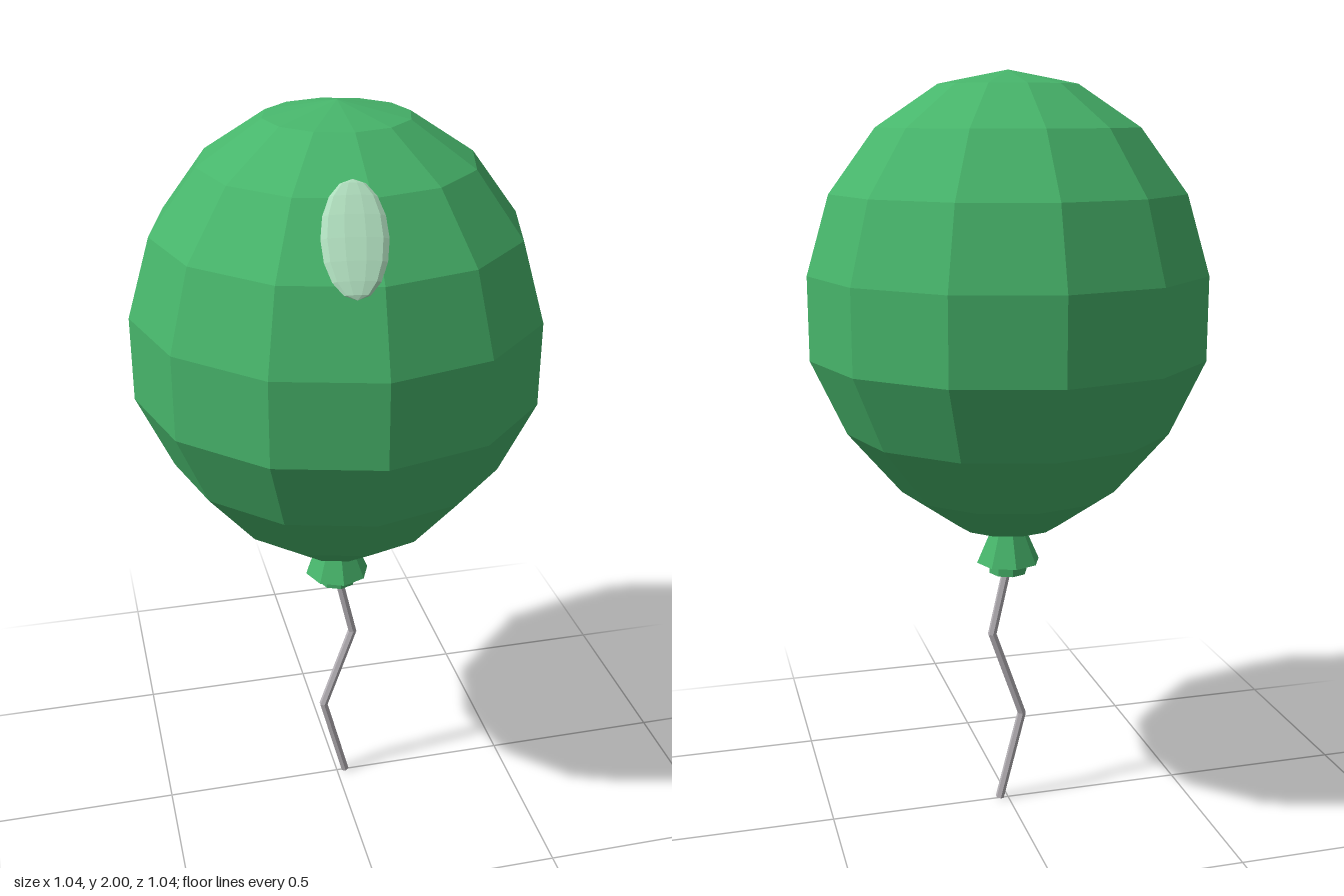
import * as THREE from 'three';

const flat = (name, color) => {
  const m = new THREE.MeshStandardMaterial({ color, flatShading: true });
  m.name = name;
  return m;
};

export function createModel() {
  const green = flat('balloonGreen', 0x47b56b);
  const shine = flat('shineGreen', 0xaedcbc);
  const grey = flat('stringGrey', 0xb9b5ba);
  const group = new THREE.Group();
  const add = (name, geometry, material) => {
    const mesh = new THREE.Mesh(geometry, material);
    mesh.name = name;
    group.add(mesh);
    return mesh;
  };

  // Egg-shaped body, narrowing towards the knot
  const profile = [
    [0, 0.79], [0.14, 0.82], [0.29, 0.925], [0.43, 1.09], [0.52, 1.285],
    [0.52, 1.5], [0.46, 1.7], [0.34, 1.86], [0.18, 1.965], [0, 2],
  ].map(([r, y]) => new THREE.Vector2(r, y));
  add('balloonBody', new THREE.LatheGeometry(profile, 12), green);

  // Flared knot with a short collar under it
  add('knot', new THREE.CylinderGeometry(0.043, 0.087, 0.1, 8), green).position.y = 0.76;
  add('knotCollar', new THREE.CylinderGeometry(0.052, 0.052, 0.035, 8), green).position.y = 0.6955;

  // Flattened highlight lying on the upper front
  const highlight = add('highlight', new THREE.SphereGeometry(1, 10, 8), shine);
  highlight.scale.set(0.075, 0.136, 0.016);
  highlight.position.set(-0.05, 1.787, 0.387);
  highlight.lookAt(-0.05 - 0.13, 1.787 + 0.59, 0.387 + 0.8);

  // Zigzag string, one thin rod per bend
  const bends = [[0, 0.7], [0.045, 0.5], [-0.04, 0.255], [0.024, 0.003]]
    .map(([x, y]) => new THREE.Vector3(x, y, 0));
  const up = new THREE.Vector3(0, 1, 0);
  for (let i = 0; i < bends.length - 1; i++) {
    const dir = bends[i].clone().sub(bends[i + 1]);
    const rod = add('string' + (i + 1), new THREE.CylinderGeometry(0.012, 0.012, dir.length() + 0.004, 6), grey);
    rod.position.copy(bends[i]).add(bends[i + 1]).multiplyScalar(0.5);
    rod.quaternion.setFromUnitVectors(up, dir.normalize());
  }
  return group;
}
